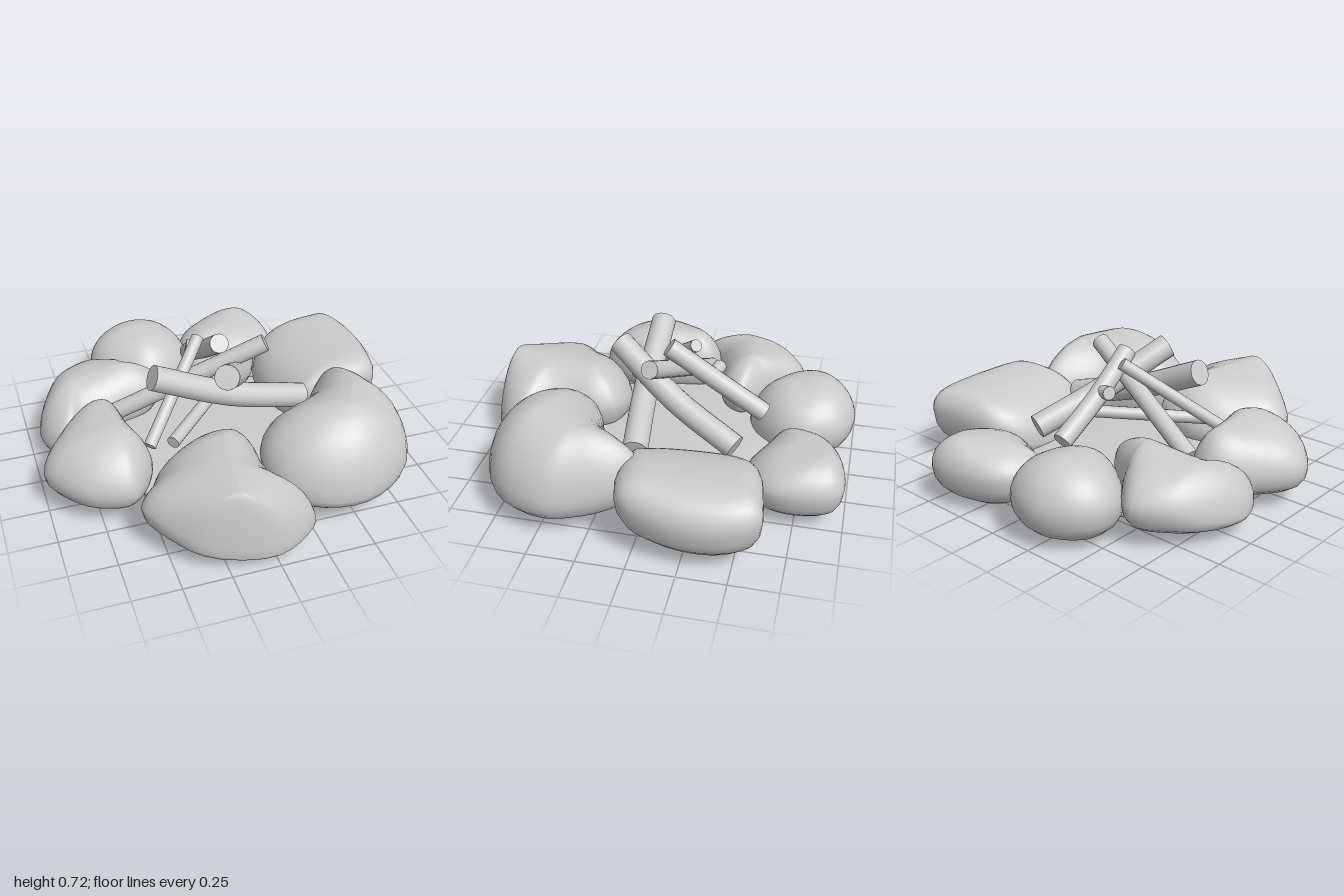
import * as THREE from 'three';
import { mergeVertices } from 'three/addons/utils/BufferGeometryUtils.js';

const mat = new THREE.MeshStandardMaterial({ color: 0xcccccc, side: THREE.DoubleSide });
const V = (p) => new THREE.Vector3(...p);

// Boulder: a rim of [x, z, height] points (height defaults to mid) that narrows
// to a foot at height low and closes on a ridge between two [x, y, z] points.
// round = fullness of the upper part (2 is elliptical, higher is flatter on top).
function stone(name, rim, ridge, low, mid, round) {
  const pts = rim.map(([x, z, y = mid]) => new THREE.Vector3(x, y, z));
  if (THREE.ShapeUtils.area(pts.map((p) => ({ x: p.x, y: p.z }))) < 0) pts.reverse();
  const N = 40;
  const ring = new THREE.CatmullRomCurve3(pts, true, 'centripetal').getPoints(N).slice(0, N);
  const foot = pts.reduce((s, p) => s.add(p), new THREE.Vector3()).divideScalar(pts.length).setY(low);

  // Nearest ridge point in plan for every rim point
  const [r0, r1] = ridge.map(V);
  const dir = r1.clone().sub(r0).setY(0);
  const tops = ring.map((p) => {
    const t = p.clone().sub(r0).setY(0).dot(dir) / dir.lengthSq();
    return r0.clone().lerp(r1, THREE.MathUtils.clamp(t, 0, 1));
  });

  // Levels: [upper half?, plan scale, height fraction from the rim]
  const levels = [];
  for (let k = 0; k <= 6; k++) {
    const a = (k / 6) * Math.PI / 2;
    levels.push([false, Math.pow(Math.sin(a), 0.85), Math.pow(Math.cos(a), 0.9)]);
  }
  for (let k = 1; k <= 9; k++) {
    const a = (k / 9) * Math.PI / 2;
    levels.push([true, k === 9 ? 0 : Math.pow(Math.cos(a), 2 / round), Math.pow(Math.sin(a), 2 / round)]);
  }
  const pos = [], idx = [];
  levels.forEach(([upper, s, h], j) => {
    for (let i = 0; i < N; i++) {
      const c = upper ? tops[i] : foot, p = ring[i];
      pos.push(c.x + (p.x - c.x) * s, p.y + (c.y - p.y) * h, c.z + (p.z - c.z) * s);
      if (j === levels.length - 1) continue;
      const a = j * N + i, b = j * N + ((i + 1) % N);
      if (j > 0) idx.push(a, a + N, b);
      idx.push(b, a + N, b + N);
    }
  });
  let g = new THREE.BufferGeometry();
  g.setAttribute('position', new THREE.Float32BufferAttribute(pos, 3));
  g.setIndex(idx);
  g = mergeVertices(g, 1e-5);
  g.computeVertexNormals();
  const m = new THREE.Mesh(g, mat);
  m.name = name;
  return m;
}

// Stick: a slightly bent tube with flat ends
function stick(name, from, to, r, bend = [0, 0, 0]) {
  const a = V(from), b = V(to);
  const curve = new THREE.CatmullRomCurve3([a, a.clone().lerp(b, 0.5).add(V(bend)), b]);
  const g = new THREE.Group();
  g.name = name;
  const bark = new THREE.Mesh(new THREE.TubeGeometry(curve, 10, r, 14), mat);
  bark.name = name + 'Bark';
  g.add(bark);
  for (const t of [0, 1]) {
    const end = new THREE.Mesh(new THREE.CircleGeometry(r, 14), mat);
    const p = curve.getPoint(t);
    end.position.copy(p);
    end.lookAt(p.clone().addScaledVector(curve.getTangent(t), t ? 1 : -1));
    end.name = name + 'End';
    g.add(end);
  }
  return g;
}

export function createModel() {
  const model = new THREE.Group();
  model.name = 'campfire';

  // Ring of boulders
  const stones = new THREE.Group();
  stones.name = 'stoneRing';
  stones.add(
    stone('backStone', [[-0.25, -1], [-0.06, -0.93], [0.02, -0.75], [0, -0.6, 0.17], [-0.12, -0.46, 0.13],
      [-0.28, -0.42, 0.12], [-0.45, -0.54, 0.15], [-0.55, -0.7], [-0.53, -0.84], [-0.42, -0.95]],
    [[-0.27, 0.42, -0.76], [-0.26, 0.41, -0.66]], 0.01, 0.2, 2),
    stone('backLeftStone', [[0.02, -0.82], [0.12, -0.92], [0.38, -0.99], [0.5, -0.96], [0.56, -0.8], [0.54, -0.6],
      [0.35, -0.45, 0.1], [0.1, -0.54, 0.1], [0, -0.64]],
    [[0.37, 0.36, -0.86], [0.28, 0.35, -0.74]], 0.01, 0.2, 2),
    stone('leftStone', [[0.5, -0.57, 0.26], [0.8, -0.63], [0.9, -0.63], [0.97, -0.52, 0.27], [1, -0.33, 0.26],
      [0.97, -0.1, 0.28], [0.89, 0.07, 0.32], [0.5, 0.085, 0.28], [0.4, 0, 0.18], [0.34, -0.25, 0.14],
      [0.37, -0.45, 0.18]],
    [[0.78, 0.43, -0.48], [0.8, 0.44, -0.07]], 0.03, 0.29, 2.3),
    stone('frontLeftStone', [[0.64, -0.02, 0.28], [0.76, 0.1, 0.25], [0.84, 0.28], [0.89, 0.47], [0.8, 0.7],
      [0.55, 0.84, 0.17], [0.3, 0.82, 0.17], [0.12, 0.7], [0.07, 0.5, 0.27], [0.15, 0.35, 0.28], [0.4, 0.24, 0.26],
      [0.52, 0.08, 0.26]],
    [[0.52, 0.565, 0.54], [0.64, 0.54, 0.34]], 0.03, 0.2, 1.9),
    stone('frontStone', [[-0.24, 0.27, 0.18], [-0.45, 0.4, 0.18], [-0.52, 0.52, 0.2], [-0.6, 0.64, 0.22],
      [-0.5, 0.82, 0.18], [-0.35, 0.94, 0.12], [-0.03, 1, 0.07], [0.15, 0.93, 0.08], [0.25, 0.82, 0.09],
      [0.14, 0.73, 0.12], [0.08, 0.6, 0.18], [0.06, 0.4, 0.24], [0, 0.29, 0.24]],
    [[-0.2, 0.455, 0.93], [-0.12, 0.445, 0.48]], 0.03, 0.16, 1.75),
    stone('frontRightStone', [[-0.7, -0.17], [-0.55, -0.14], [-0.5, 0.1], [-0.45, 0.3], [-0.55, 0.48], [-0.62, 0.52],
      [-0.8, 0.47], [-0.93, 0.35], [-1, 0.2], [-0.9, 0.02]],
    [[-0.64, 0.43, -0.02], [-0.62, 0.44, 0.22]], 0.05, 0.2, 1.9),
    stone('backRightStone', [[-0.62, -0.69], [-0.54, -0.66], [-0.4, -0.5], [-0.23, -0.36, 0.25], [-0.3, -0.25, 0.24],
      [-0.5, -0.2], [-0.7, -0.15], [-0.83, -0.02, 0.14], [-0.92, -0.12, 0.12], [-0.95, -0.25, 0.12],
      [-0.88, -0.46, 0.15], [-0.78, -0.6]],
    [[-0.73, 0.38, -0.36], [-0.46, 0.42, -0.38]], 0.04, 0.2, 1.9),
  );
  model.add(stones);

  // Shallow bed of ash reaching under the ring
  model.add(stone('ashBed', [[-0.47, 0.42], [-0.1, 0.58], [0.25, 0.55], [0.48, 0.34], [0.55, 0], [0.5, -0.38],
    [0.22, -0.62], [-0.2, -0.64], [-0.52, -0.5], [-0.68, -0.15], [-0.6, 0.2]],
  [[-0.05, 0.15, 0], [0.05, 0.15, 0]], 0, 0.08, 2.4));

  // Stacked firewood
  const wood = new THREE.Group();
  wood.name = 'firewood';
  wood.add(
    stick('frontLog', [-0.04, 0.65, 0.28], [0.29, 0.29, -0.41], 0.066, [0.02, -0.03, 0]),
    stick('crossLog', [-0.39, 0.62, 0.12], [0.46, 0.31, 0.08], 0.068, [0, -0.03, 0.02]),
    stick('backLog', [0.01, 0.68, 0], [-0.01, 0.33, -0.52], 0.052, [-0.01, -0.01, 0]),
    stick('longStick', [0.25, 0.67, 0.05], [-0.54, 0.27, -0.14], 0.048),
    stick('thinStick', [-0.07, 0.66, -0.13], [-0.45, 0.29, 0.25], 0.034),
    stick('groundStick', [-0.33, 0.3, 0.27], [0.15, 0.36, -0.2], 0.034),
    stick('backLogStub', [-0.01, 0.52, -0.23], [-0.1, 0.54, -0.26], 0.036),
  );
  model.add(wood);
  return model;
}
